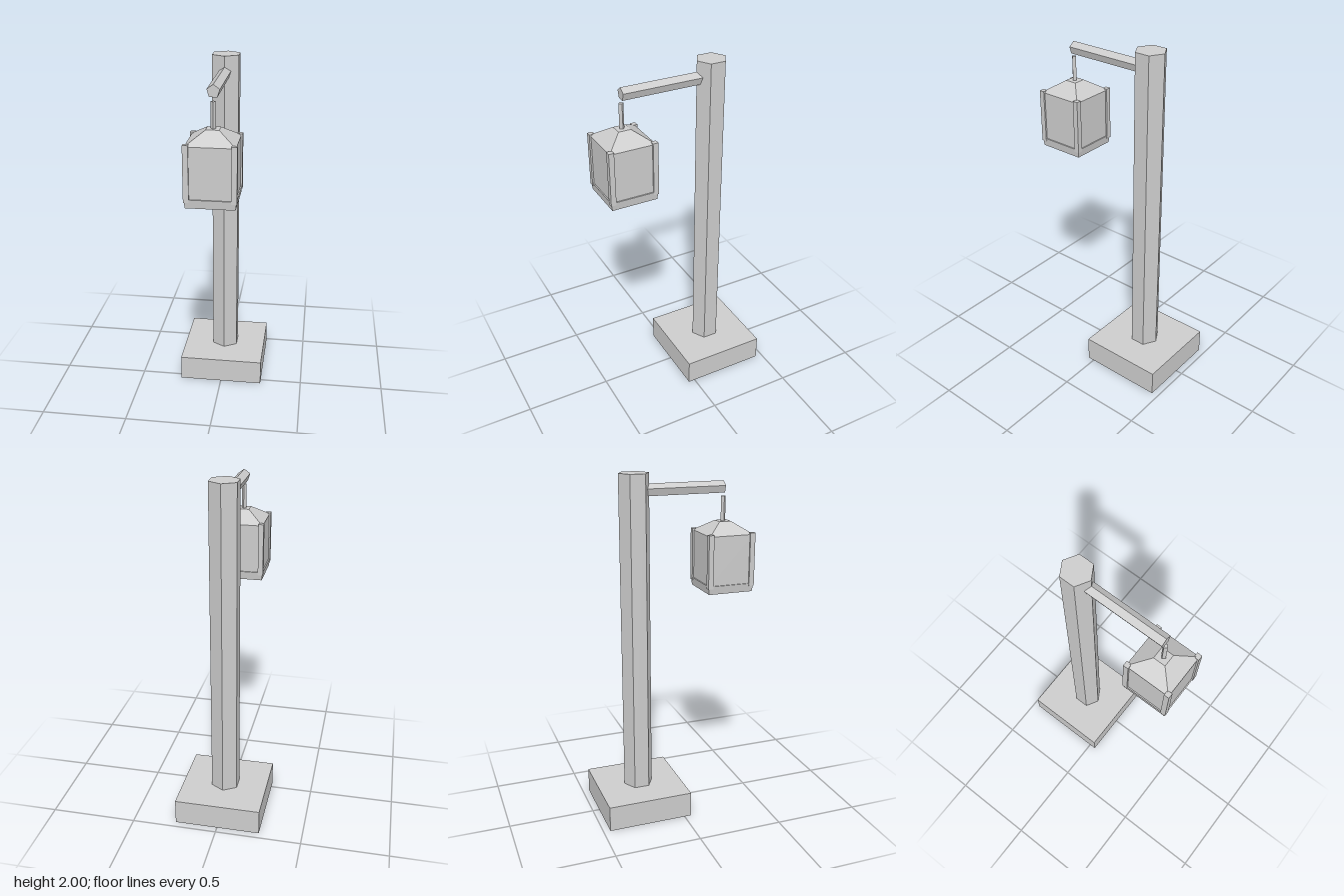
import * as THREE from 'three';

export function createModel() {
  const group = new THREE.Group();
  const grey = new THREE.MeshStandardMaterial({ color: 0xcccccc });
  grey.name = 'grey';
  grey.flatShading = true;
  const postZ = -0.21, lampZ = 0.317;

  function add(name, geometry, x, y, z, parent = group) {
    const mesh = new THREE.Mesh(geometry, grey);
    mesh.name = name;
    mesh.position.set(x, y, z);
    parent.add(mesh);
    return mesh;
  }

  // Square frustum given by half widths, sides facing the axes
  function frustum(top, bottom, height) {
    return new THREE.CylinderGeometry(top * Math.SQRT2, bottom * Math.SQRT2, height, 4)
      .rotateY(Math.PI / 4);
  }

  // Plinth and hexagonal post
  add('base', new THREE.BoxGeometry(0.5, 0.15, 0.5), 0, 0.075, postZ);
  add('post', new THREE.CylinderGeometry(0.087, 0.087, 1.85, 6), 0, 1.075, postZ);

  // Five-sided arm with a ridge on top
  const arm = new THREE.CylinderGeometry(0.036, 0.036, 0.5, 5).rotateX(-Math.PI / 2);
  add('arm', arm, 0, 1.904, 0.067);

  // Lantern
  const lantern = new THREE.Group();
  lantern.name = 'lantern';
  lantern.position.z = lampZ;
  group.add(lantern);
  add('hanger', new THREE.CylinderGeometry(0.014, 0.014, 0.145, 4), 0, 1.782, 0, lantern);
  add('lanternRoof', frustum(0.035, 0.132, 0.065), 0, 1.6825, 0, lantern);
  add('lanternPanes', new THREE.BoxGeometry(0.262, 0.28, 0.262), 0, 1.51, 0, lantern);
  add('lanternFloor', frustum(0.138, 0.132, 0.048), 0, 1.346, 0, lantern);

  // Corner posts of the lantern
  for (const sx of [-1, 1]) {
    for (const sz of [-1, 1]) {
      add('lanternCorner', new THREE.BoxGeometry(0.03, 0.305, 0.03),
        sx * 0.125, 1.5075, sz * 0.125, lantern);
    }
  }
  return group;
}
